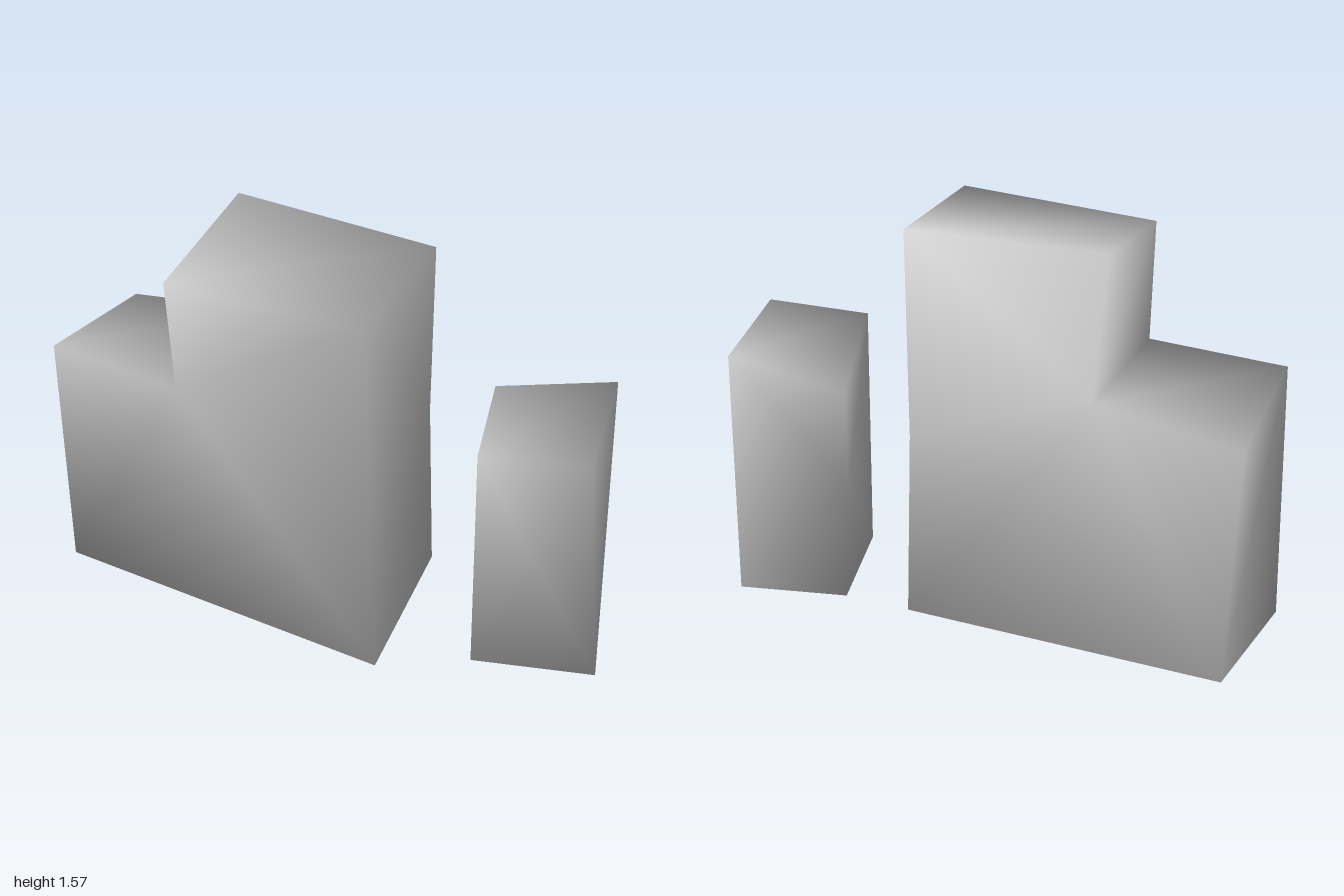
import * as THREE from 'three';

const grey = new THREE.MeshStandardMaterial({ color: 0xc8c8c8 });
grey.name = 'stone grey';

// Closed solid from named corners; each face is a fan around its first corner.
// Shared corners give smooth normals across the edges.
function solid(name, corners, faces) {
  const keys = Object.keys(corners);
  const index = [];
  for (const face of faces) {
    const ids = face.split(' ').map((k) => keys.indexOf(k));
    for (let i = 1; i < ids.length - 1; i++) index.push(ids[0], ids[i], ids[i + 1]);
  }
  const geometry = new THREE.BufferGeometry();
  geometry.setAttribute('position', new THREE.Float32BufferAttribute(Object.values(corners).flat(), 3));
  geometry.setIndex(index);
  geometry.computeVertexNormals();
  const mesh = new THREE.Mesh(geometry, grey);
  mesh.name = name;
  return mesh;
}

// Corner names: t/s/b = top, step, bottom; F/B = front, back; L/R = -x, +x side
export function createModel() {
  const group = new THREE.Group();
  group.name = 'leaningBlocks';

  // Tall stepped block
  group.add(solid('steppedBlock', {
    tFL: [-0.52, 1.46, 0.30], tFR: [0.15, 1.47, 0.565], tBR: [0.35, 1.53, 0.11], tBL: [-0.33, 1.57, -0.15],
    sFL: [-0.975, 1.035, 0.02], sFR: [-0.51, 1.02, 0.24], sBR: [-0.28, 1.06, -0.25], sBL: [-0.77, 0.99, -0.45],
    bFL: [-1.0, 0.035, -0.1], bFR: [0.19, 0, 0.42], bBR: [0.37, 0.08, -0.13], bBL: [-0.74, 0.10, -0.565],
    mBR: [0.345, 0.8, -0.05],
  }, [
    'sFR sFL bFL bFR tFR tFL',     // front
    'sBR tBL tBR mBR bBR bBL sBL', // back
    'tFL tFR tBR tBL',             // top
    'sFL sFR sBR sBL',             // step
    'tFL tBL sBR sFR',             // riser
    'sFL sBL bBL bFL',             // outer side
    'mBR tBR tFR bFR bBR',         // inner side
    'bFL bBL bBR bFR',             // underside
  ]));

  // Small block with a pinched back edge
  group.add(solid('smallBlock', {
    tFL: [0.515, 0.98, 0.50], tFR: [0.88, 1.005, 0.565], tBR: [0.98, 1.04, 0.10], tBL: [0.57, 0.945, 0.01],
    bFL: [0.53, 0.025, 0.39], bFR: [0.97, 0.03, 0.44], bBR: [1.0, 0.09, 0], bBL: [0.60, 0.10, -0.07],
    mBL: [0.58, 0.52, 0.05],
  }, [
    'tFL bFL bFR tFR',
    'mBL tBL tBR bBR bBL',
    'mBL bBL bFL tFL tBL',
    'bFR bBR tBR tFR',
    'tFL tFR tBR tBL',
    'bFL bBL bBR bFR',
  ]));

  return group;
}
